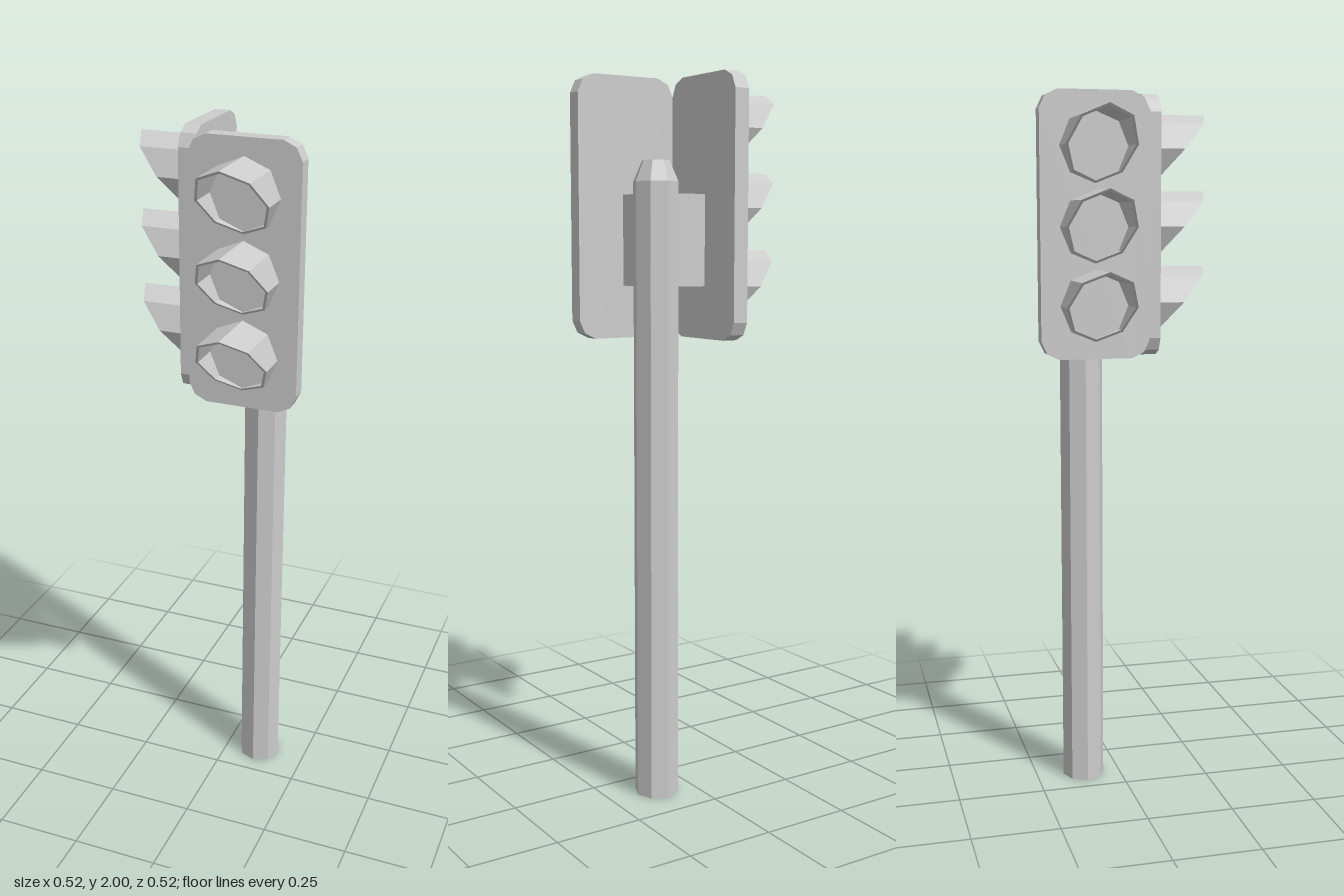
import * as THREE from 'three';

const grey = new THREE.MeshStandardMaterial({ color: 0xcccccc, flatShading: true });
grey.name = 'light grey';

function part(name, geometry, parent) {
  const mesh = new THREE.Mesh(geometry, grey);
  mesh.name = name;
  parent.add(mesh);
  return mesh;
}

const v = (x, y) => new THREE.Vector2(x, y);

// Octagonal tube cut off by a slanted plane: long at the top, nothing at the bottom
function visorGeometry(radius, wall, depth) {
  const inner = radius - wall;
  const g = new THREE.LatheGeometry([v(radius, 0), v(radius, 1), v(inner, 1), v(inner, 0)], 8).toNonIndexed();
  g.rotateX(Math.PI / 2);
  const p = g.attributes.position;
  for (let i = 0; i < p.count; i++) {
    p.setZ(i, p.getZ(i) * depth * (0.5 + p.getY(i) / (2 * radius)));
  }
  g.computeVertexNormals();
  return g;
}

// Upright plate with corners cut in two facets
function panelGeometry(w, h, depth) {
  const a = 0.05, b = 0.016, x = w / 2, y = h / 2;
  const shape = new THREE.Shape([
    v(x, -y + a), v(x, y - a), v(x - b, y - b), v(x - a, y),
    v(-x + a, y), v(-x + b, y - b), v(-x, y - a),
    v(-x, -y + a), v(-x + b, -y + b), v(-x + a, -y),
    v(x - a, -y), v(x - b, -y + b),
  ]);
  return new THREE.ExtrudeGeometry(shape, { depth, bevelEnabled: false });
}

// One signal head, facing +z, with the pole axis at its origin
function signalHead(name) {
  const head = new THREE.Group();
  head.name = name;
  part('panel', panelGeometry(0.303, 0.715, 0.044), head).position.set(0, 1.6425, 0.151);
  part('bracket', new THREE.BoxGeometry(0.024, 0.25, 0.151), head).position.set(0, 1.555, 0.0755);
  for (const y of [1.855, 1.642, 1.43]) {
    part('visor', visorGeometry(0.098, 0.007, 0.17), head).position.set(0, y, 0.195);
  }
  return head;
}

export function createModel() {
  const model = new THREE.Group();
  model.name = 'trafficSignal';

  const assembly = new THREE.Group();
  assembly.name = 'poleAssembly';
  assembly.position.set(0.105, 0, -0.108);
  model.add(assembly);

  // Octagonal pole with a tapered top
  const profile = [v(0, 0), v(0.062, 0), v(0.062, 1.71), v(0.038, 1.765), v(0, 1.765)];
  part('pole', new THREE.LatheGeometry(profile, 8), assembly);

  // Two heads at a right angle
  assembly.add(signalHead('frontSignal'));
  const side = signalHead('sideSignal');
  side.rotation.y = -Math.PI / 2;
  assembly.add(side);

  return model;
}
